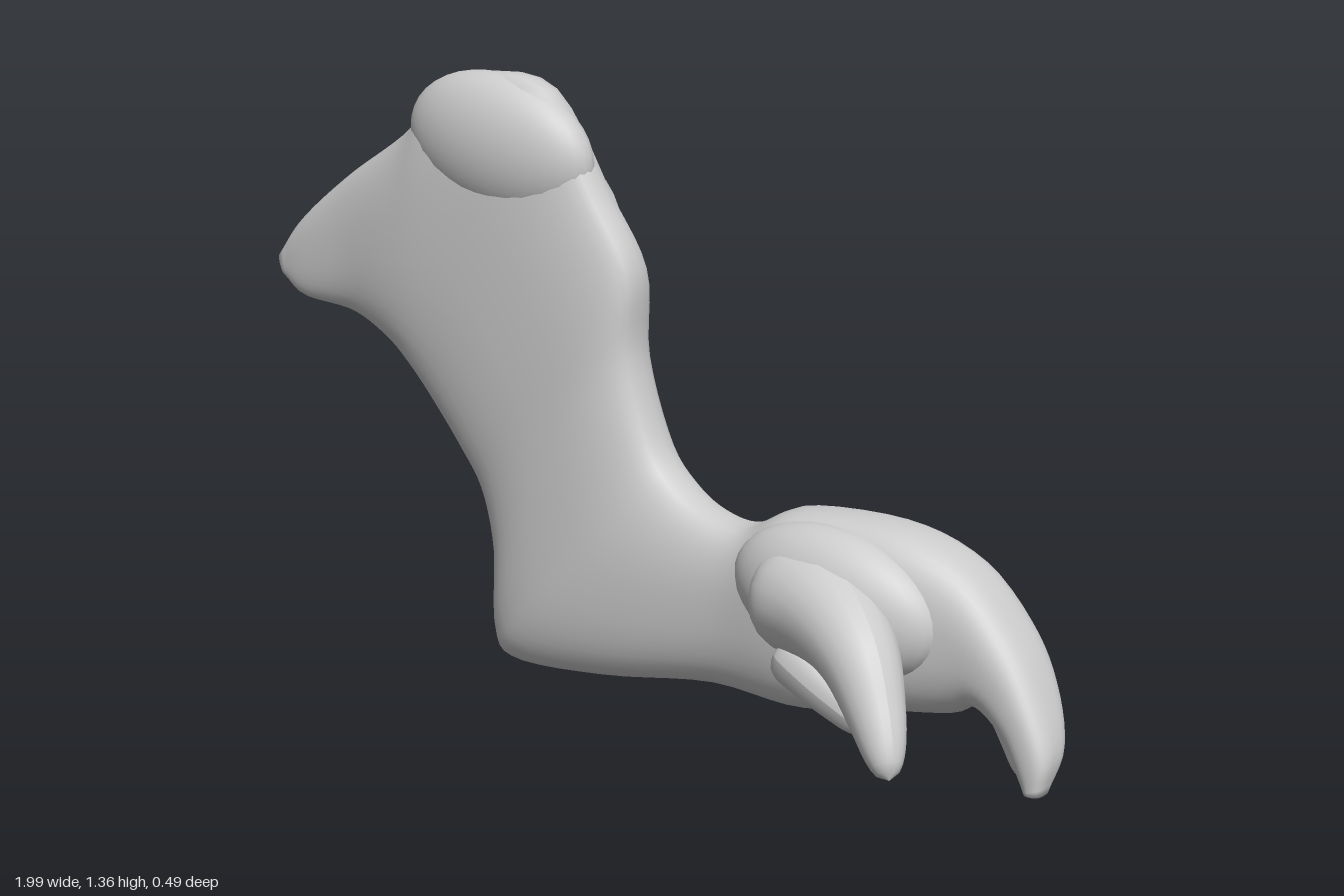
import * as THREE from 'three';

const material = new THREE.MeshStandardMaterial({ color: 0xcccccc, roughness: 0.9 });

// Cross-sections from snout to tail: [upper x, y, lower x, y, front z, back z]
const SECTIONS = [
  [-1.00, 0.90, -0.985, 0.85, -0.07, -0.10],
  [-0.93, 0.99, -0.93, 0.81, -0.06, -0.12],
  [-0.80, 1.10, -0.80, 0.79, -0.05, -0.155],
  [-0.64, 1.21, -0.70, 0.74, -0.03, -0.19],
  [-0.51, 1.335, -0.63, 0.68, -0.02, -0.19],
  [-0.28, 1.34, -0.57, 0.61, -0.015, -0.19],
  [-0.13, 1.12, -0.50, 0.52, -0.015, -0.19],
  [-0.045, 0.97, -0.44, 0.43, -0.01, -0.195],
  [-0.04, 0.79, -0.405, 0.30, 0.00, -0.20],
  [0.02, 0.61, -0.40, 0.13, 0.01, -0.20],
  [0.09, 0.53, -0.34, 0.07, 0.02, -0.19],
  [0.17, 0.485, -0.10, 0.08, 0.025, -0.175],
  [0.26, 0.475, 0.18, 0.12, 0.03, -0.17],
  [0.38, 0.53, 0.40, 0.11, 0.05, -0.185],
  [0.60, 0.53, 0.60, 0.14, 0.04, -0.20],
  [0.76, 0.47, 0.74, 0.16, 0.02, -0.20],
  [0.88, 0.35, 0.80, 0.19, 0.02, -0.18],
  [0.95, 0.24, 0.87, 0.15, 0.03, -0.14],
  [0.99, 0.14, 0.92, 0.08, 0.04, -0.08],
  [0.98, 0.06, 0.94, 0.06, 0.04, -0.02],
];

const power = (v, p) => Math.sign(v) * Math.abs(v) ** p;

// Skin flattened oval rings over the smoothed sections
function loft(sections, steps = 90, sides = 40) {
  const curve = (f) => new THREE.CatmullRomCurve3(sections.map(f), false, 'catmullrom', 0.5);
  const upper = curve((s) => new THREE.Vector3(s[0], s[1], s[4]));
  const lower = curve((s) => new THREE.Vector3(s[2], s[3], s[5]));
  const positions = [], index = [], ends = [];
  for (let i = 0; i <= steps; i++) {
    const a = upper.getPoint(i / steps), b = lower.getPoint(i / steps);
    const mid = a.clone().add(b).multiplyScalar(0.5);
    const half = a.clone().sub(b).multiplyScalar(0.5);
    if (i === 0 || i === steps) ends.push(mid);
    for (let j = 0; j < sides; j++) {
      const t = (j / sides) * Math.PI * 2;
      const c = power(Math.cos(t), 0.85), s = power(Math.sin(t), 0.7);
      positions.push(mid.x + half.x * c, mid.y + half.y * c, mid.z + half.z * s);
    }
  }
  const first = (steps + 1) * sides, last = steps * sides;
  ends.forEach((p) => positions.push(p.x, p.y, p.z));
  for (let j = 0; j < sides; j++) {
    const k = (j + 1) % sides;
    for (let i = 0; i < steps; i++) {
      const r = i * sides, q = r + sides;
      index.push(r + j, r + k, q + j, r + k, q + k, q + j);
    }
    index.push(first, k, j, first + 1, last + j, last + k);
  }
  const geometry = new THREE.BufferGeometry();
  geometry.setAttribute('position', new THREE.Float32BufferAttribute(positions, 3));
  geometry.setIndex(index);
  geometry.computeVertexNormals();
  return geometry;
}

// Tapered tube with rounded ends along a few points
function limb(points, r0, r1) {
  const path = new THREE.CatmullRomCurve3(points.map((p) => new THREE.Vector3(...p)));
  const steps = 40, sides = 20;
  const geometry = new THREE.TubeGeometry(path, steps, 1, sides);
  const pos = geometry.attributes.position, v = new THREE.Vector3();
  for (let i = 0; i <= steps; i++) {
    const t = i / steps, centre = path.getPointAt(t);
    const round = Math.sqrt(Math.max(0, 1 - Math.abs(2 * t - 1) ** 10));
    const r = THREE.MathUtils.lerp(r0, r1, t) * Math.max(round, 0.01);
    for (let j = 0; j <= sides; j++) {
      const n = i * (sides + 1) + j;
      v.fromBufferAttribute(pos, n).sub(centre).multiplyScalar(r).add(centre);
      pos.setXYZ(n, v.x, v.y, v.z);
    }
  }
  geometry.computeVertexNormals();
  return geometry;
}

export function createModel() {
  const group = new THREE.Group();
  const add = (name, geometry) => {
    const mesh = new THREE.Mesh(geometry, material);
    mesh.name = name;
    group.add(mesh);
    return mesh;
  };
  const lump = (name, centre, size, tilt = 0) => {
    const mesh = add(name, new THREE.SphereGeometry(1, 32, 20));
    mesh.position.set(...centre);
    mesh.scale.set(...size);
    mesh.rotation.z = tilt;
  };

  // Head, neck, torso and tail in one skin
  add('body', loft(SECTIONS));

  // Swellings on the head and hip
  lump('crown', [-0.39, 1.2, -0.09], [0.235, 0.155, 0.09], -0.2);
  lump('cheek', [-0.41, 1.08, -0.14], [0.29, 0.17, 0.105], -0.2);
  lump('cheekPad', [-0.33, 1.04, -0.17], [0.15, 0.1, 0.078], -0.2);
  lump('hip', [0.5, 0.37, 0.0], [0.24, 0.15, 0.1], -0.2);

  // Legs
  add('frontLeg', limb([[0.36, 0.37, -0.03], [0.5, 0.36, 0.04], [0.61, 0.31, 0.11], [0.69, 0.21, 0.17], [0.75, 0.11, 0.225]], 0.14, 0.035));
  add('innerLeg', limb([[0.4, 0.26, 0.02], [0.5, 0.21, 0.05], [0.62, 0.15, 0.07]], 0.07, 0.04));
  add('backLeg', limb([[0.7, 0.32, -0.12], [0.8, 0.17, -0.175], [0.825, 0.09, -0.19], [0.85, 0, -0.19]], 0.08, 0.032));
  return group;
}
